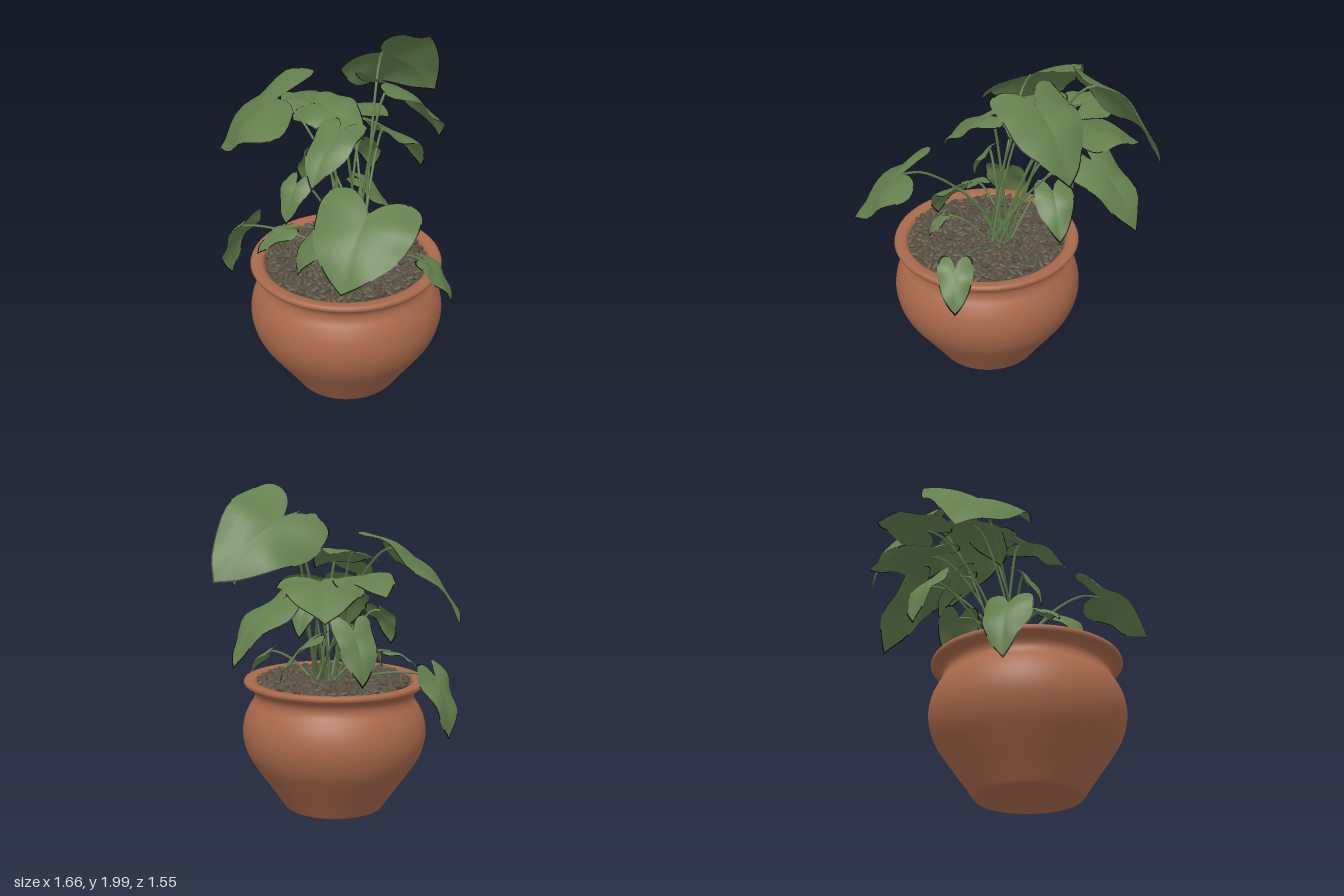
import * as THREE from 'three';
import { mergeGeometries } from 'three/addons/utils/BufferGeometryUtils.js';

const POT_X = 0.11, POT_Z = 0.22;

const mat = (name, color, side = THREE.FrontSide) => {
  const m = new THREE.MeshStandardMaterial({ color, side });
  m.name = name;
  return m;
};

// Right half of the heart outline, from the notch round to the tip (x: half widths, y: lengths)
const heart = new THREE.CatmullRomCurve3([
  [0, 0], [0.1, -0.16], [0.26, -0.26], [0.42, -0.21], [0.5, 0], [0.48, 0.25],
  [0.37, 0.55], [0.18, 0.83], [0, 1],
].map(([x, y]) => new THREE.Vector3(x, y, 0)));
const half = heart.getPoints(24);
const outline = [...half, ...half.slice(1, -1).reverse().map((p) => new THREE.Vector3(-p.x, p.y, 0))];

// Heart leaf: concentric rings of the outline, arched along the midrib, drooping at the sides.
// The narrow outermost ring is withered in patches and at the tip (second material).
function leafGeometry(base, tip, width, roll, seed) {
  const dir = tip.clone().sub(base);
  const len = dir.length();
  dir.normalize();
  const across = dir.clone().cross(new THREE.Vector3(0, 1, 0)).normalize().applyAxisAngle(dir, -roll);
  const up = across.clone().cross(dir);
  const rings = [0, 0.17, 0.34, 0.5, 0.66, 0.82, 1 - 0.012 / width, 1];
  const n = outline.length, pos = [], green = [], withered = [];
  for (const k of rings) {
    for (const p of outline) {
      const x = p.x * k, y = 0.15 + (p.y - 0.15) * k;
      const arch = 0.38 * y * (1 - y);
      const ripple = 0.1 * Math.abs(x) * Math.sin(y * 9 + seed * 2 + Math.sign(x));
      const h = (arch + ripple) * len + (0.16 * Math.abs(x) - 0.6 * x * x) * width;
      const q = base.clone().addScaledVector(across, x * width)
        .addScaledVector(dir, y * len).addScaledVector(up, h);
      pos.push(q.x, q.y, q.z);
    }
  }
  const last = rings.length - 2;
  for (let r = 0; r <= last; r++) {
    for (let i = 0; i < n; i++) {
      const a = r * n + i, b = r * n + (i + 1) % n, c = a + n, d = b + n;
      const patch = Math.abs(i - n / 2) < 4 || Math.sin(i * 0.6 + seed * 1.7) > -0.2;
      const list = r === last && patch ? withered : green;
      list.push(a, c, d);
      if (r > 0) list.push(a, d, b);
    }
  }
  const g = new THREE.BufferGeometry();
  g.setAttribute('position', new THREE.Float32BufferAttribute(pos, 3));
  g.setIndex([...green, ...withered]);
  g.addGroup(0, green.length, 0);
  g.addGroup(green.length, withered.length, 1);
  g.computeVertexNormals();
  return g;
}

// Large leaves: notch, tip, width, roll about the midrib
const LARGE = [
  [-0.42, 1.63, 0.28, -0.8, 1.23, 0.41, 0.64, 0.4],
  [-0.5, 1.5, -0.04, -0.83, 1.42, -0.12, 0.32, -0.1],
  [-0.2, 1.82, -0.34, -0.17, 1.48, -0.77, 0.55, 0.84],
  [0.1, 1.76, -0.13, 0.2, 1.39, -0.43, 0.5, 0.09],
  [0.56, 1.34, 0.46, 0.65, 1, 0.73, 0.57, 0.12],
  [-0.3, 1.46, -0.17, -0.63, 1.28, -0.37, 0.48, 0.06],
  [-0.25, 1.6, 0.1, 0.09, 1.48, 0.06, 0.34, -0.25],
  [0.06, 1.57, 0.22, 0.15, 1.33, 0.5, 0.28, 0],
];

// Slim leaves: notch and tip, with the width following the length
const SLIM = [
  [-0.17, 1.36, -0.33, -0.16, 1, -0.65],
  [-0.13, 1.23, 0.38, -0.11, 1.01, 0.48],
  [0.17, 1.08, 0.42, 0.12, 0.82, 0.59],
  [0.29, 0.94, 0.41, 0.36, 0.82, 0.46],
  [-0.12, 0.97, 0.47, -0.18, 0.85, 0.64],
  [0.61, 0.9, 0.05, 0.72, 0.67, -0.03],
  [-0.48, 0.87, 0.52, -0.57, 0.51, 0.55],
  [-0.45, 1.2, -0.05, -0.56, 0.89, -0.07],
  [-0.12, 1.1, -0.1, 0, 0.85, -0.24],
  [-0.1, 1.38, -0.08, -0.16, 1.12, -0.22],
];

// Arching stalk from the soil to the leaf notch
function stalkGeometry(end, i) {
  const a = i * 2.4;
  const start = new THREE.Vector3(0.1 + 0.07 * Math.cos(a), 0.76, 0.14 + 0.06 * Math.sin(a));
  const rise = end.y - start.y;
  const mid = start.clone().lerp(end, 0.45);
  mid.y = start.y + rise * 0.64 + 0.03;
  const late = start.clone().lerp(end, 0.82);
  late.y = start.y + rise * 0.95 + 0.02;
  const curve = new THREE.CatmullRomCurve3([start, mid, late, end]);
  return new THREE.TubeGeometry(curve, 18, 0.0075, 6);
}

// Pebbles laid in a spiral with varied turn and tilt
function pebbleGeometry() {
  let s = 7;
  const rnd = () => (s = (s * 16807) % 2147483647) / 2147483647;
  const parts = [];
  const count = 560;
  for (let i = 0; i < count; i++) {
    const r = 0.455 * Math.sqrt((i + 0.5) / count), a = i * 2.39996;
    const g = new THREE.SphereGeometry(1, 8, 6);
    g.scale(0.034 + rnd() * 0.01, 0.014, 0.016 + rnd() * 0.004);
    g.rotateZ((rnd() - 0.5) * 1.1);
    g.rotateY(rnd() * Math.PI);
    g.translate(POT_X + r * Math.cos(a), 0.778 + rnd() * 0.015, POT_Z + r * Math.sin(a));
    parts.push(g);
  }
  return mergeGeometries(parts);
}

export function createModel() {
  const model = new THREE.Group();
  model.name = 'pottedPlant';
  const clay = mat('terracotta', 0xa9694b);
  const gravel = mat('gravel', 0x575041);
  const leafGreen = mat('leafGreen', 0x64804d, THREE.DoubleSide);
  const witheredEdge = mat('witheredEdge', 0x0c0e09, THREE.DoubleSide);
  const stalkGreen = mat('stalkGreen', 0x5c7846);
  const add = (parent, name, geometry, material) => {
    const m = new THREE.Mesh(geometry, material);
    m.name = name;
    parent.add(m);
    return m;
  };

  // Pot: hollow foot, round belly, narrow neck, flared lip
  const belly = new THREE.SplineCurve([
    [0.305, 0.005], [0.37, 0.1], [0.445, 0.205], [0.515, 0.31], [0.55, 0.4], [0.56, 0.48],
    [0.548, 0.56], [0.52, 0.625], [0.492, 0.67], [0.485, 0.71], [0.505, 0.745], [0.545, 0.768],
  ].map((p) => new THREE.Vector2(...p))).getPoints(44);
  const profile = [
    [0, 0.02], [0.26, 0.02], [0.275, 0], [0.3, 0],
    ...belly.map((p) => [p.x, p.y]),
    [0.552, 0.782], [0.546, 0.797], [0.53, 0.8], [0.49, 0.797], [0.472, 0.785], [0.465, 0.75],
  ].map((p) => new THREE.Vector2(...p));
  add(model, 'pot', new THREE.LatheGeometry(profile, 72), clay).position.set(POT_X, 0, POT_Z);

  // Soil disc with pebbles
  const soil = add(model, 'soil', new THREE.CircleGeometry(0.48, 48), gravel);
  soil.rotation.x = -Math.PI / 2;
  soil.position.set(POT_X, 0.775, POT_Z);
  add(model, 'pebbles', pebbleGeometry(), gravel);

  // Leaves on their stalks
  const plant = new THREE.Group();
  plant.name = 'plant';
  model.add(plant);
  [...LARGE, ...SLIM].forEach((spec, i) => {
    const base = new THREE.Vector3().fromArray(spec);
    const tip = new THREE.Vector3().fromArray(spec, 3);
    const [width = 0.76 * base.distanceTo(tip), roll = 0] = spec.slice(6);
    add(plant, 'leaf' + (i + 1), leafGeometry(base, tip, width, roll, i), [leafGreen, witheredEdge]);
    add(plant, 'stalk' + (i + 1), stalkGeometry(base, i), stalkGreen);
  });
  return model;
}
